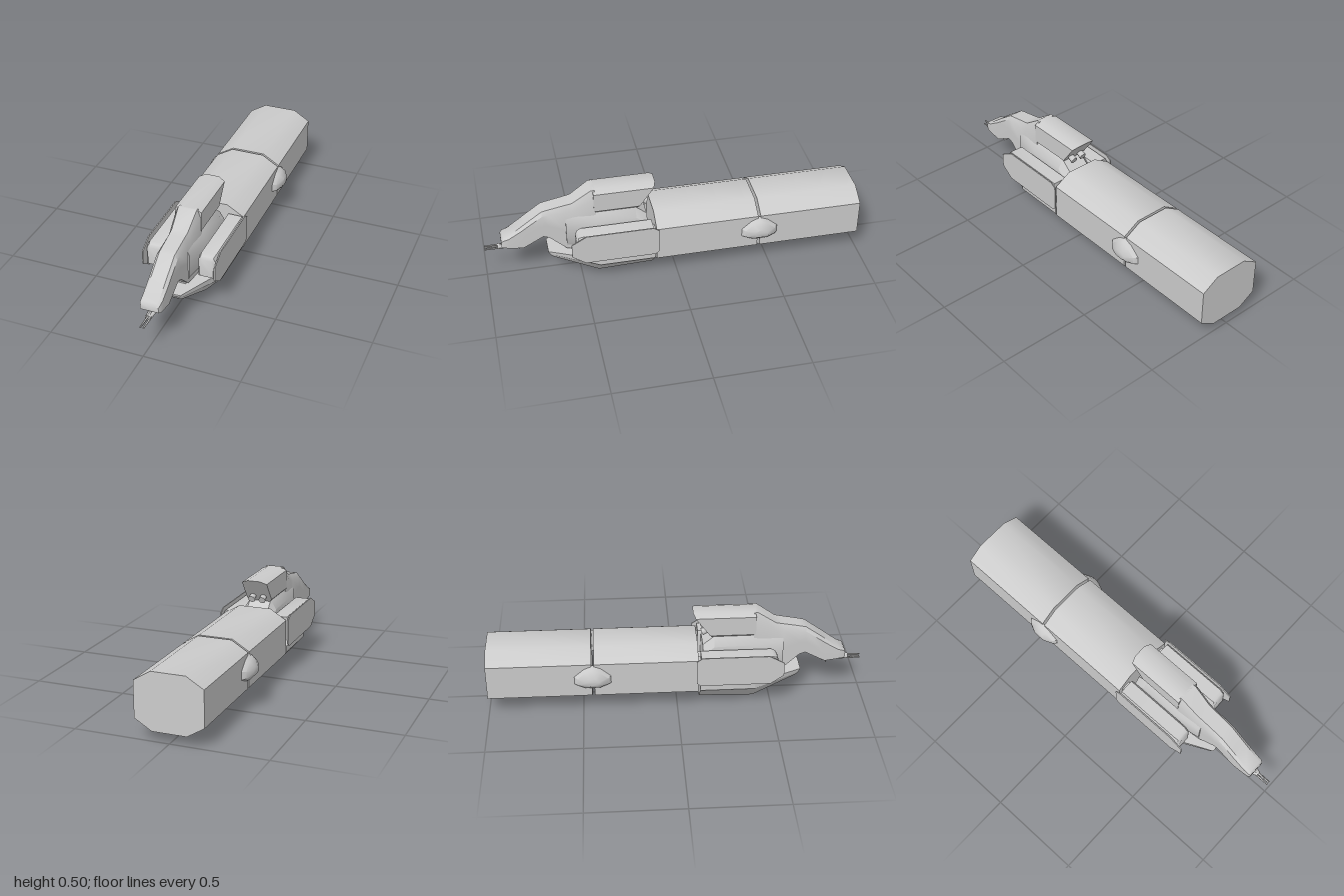
import * as THREE from 'three';
import { toCreasedNormals } from 'three/addons/utils/BufferGeometryUtils.js';

const grey = new THREE.MeshStandardMaterial({ color: 0xcccccc, side: THREE.DoubleSide });

// Mirrored ring at depth z: half holds [x, y] from bottom to top on the right, cx shifts it sideways.
// An optional third value per point shifts that point along z.
function ring(z, half, cx = 0) {
  const right = half.map(([x, y, dz = 0]) => [cx + x, y, z + dz]);
  const left = half.map(([x, y, dz = 0]) => [cx - x, y, z + dz]).reverse();
  return [...right, ...left];
}

// Closed skin through rings ordered from back to front.
function loft(rings, crease = 0.65) {
  const pos = [];
  const n = rings[0].length;
  const tri = (a, b, c) => pos.push(...a, ...b, ...c);
  for (let i = 0; i < rings.length - 1; i++) {
    for (let j = 0; j < n; j++) {
      const k = (j + 1) % n;
      const [a, b, c, d] = [rings[i][j], rings[i][k], rings[i + 1][k], rings[i + 1][j]];
      tri(a, b, c);
      tri(a, c, d);
    }
  }
  const first = rings[0], last = rings[rings.length - 1];
  for (let j = 1; j < n - 1; j++) {
    tri(first[0], first[j + 1], first[j]);
    tri(last[0], last[j], last[j + 1]);
  }
  const g = new THREE.BufferGeometry();
  g.setAttribute('position', new THREE.Float32BufferAttribute(pos, 3));
  return toCreasedNormals(g, crease);
}

export function createModel() {
  const model = new THREE.Group();
  const add = (name, geometry, x = 0, y = 0, z = 0) => {
    const mesh = new THREE.Mesh(geometry, grey);
    mesh.name = name;
    mesh.position.set(x, y, z);
    model.add(mesh);
    return mesh;
  };

  // Two long octagonal hull sections with a narrow gap between them
  const octagon = [[0.09, 0.05], [0.18, 0.105], [0.18, 0.295], [0.09, 0.35]];
  for (const [name, z0, z1] of [['rearHull', -1, -0.45], ['middleHull', -0.437, 0.11]]) {
    add(name, loft([ring(z0, octagon), ring(z1, octagon)], 1.0));
  }

  // Lower keel, narrowing to a wedge at the front
  add('keel', loft([
    ring(0.12, [[0.055, 0.012], [0.09, 0.018], [0.18, 0.11], [0.18, 0.145]]),
    ring(0.41, [[0.055, 0], [0.09, 0.01], [0.18, 0.11], [0.18, 0.148]]),
    ring(0.65, [[0.052, 0.108], [0.055, 0.11], [0.064, 0.125], [0.066, 0.145]]),
    ring(0.67, [[0.05, 0.135], [0.053, 0.137], [0.056, 0.14], [0.057, 0.145]]),
  ], 0.5));

  // Chest between the side pods
  const chest = (z, w, bottom, top) => ring(z, [[w * 0.66, bottom], [w, bottom + 0.05],
    [w, top - 0.05], [w * 0.66, top]]);
  add('chest', loft([
    chest(0.14, 0.09, 0.145, 0.32), chest(0.2, 0.09, 0.145, 0.37),
    chest(0.41, 0.09, 0.145, 0.375), chest(0.57, 0.066, 0.145, 0.375),
  ]));

  // Drooping head and neck: [z, bottom, top, half width]
  const headStations = [
    [0.41, 0.15, 0.5, 0.07], [0.43, 0.15, 0.5, 0.07], [0.53, 0.15, 0.43, 0.061],
    [0.57, 0.155, 0.422, 0.059], [0.66, 0.24, 0.405, 0.058], [0.69, 0.25, 0.398, 0.057],
    [0.78, 0.2, 0.333, 0.056], [0.8, 0.19, 0.318, 0.056], [0.87, 0.2, 0.266, 0.055],
    [0.9, 0.205, 0.254, 0.053], [0.91, 0.21, 0.24, 0.048],
  ];
  add('head', loft(headStations.map(([z, b, t, w]) => ring(z, [
    [w, b], [w, b + (t - b) * 0.45], [w * 0.97, t - (t - b) * 0.14], [w * 0.7, t],
  ]))));

  // Top housing with a raked rear face
  const housing = (z, rake) => ring(z, [[0.057, 0.365, rake], [0.071, 0.38, rake * 0.88],
    [0.071, 0.485, rake * 0.12], [0.035, 0.5, 0]]);
  add('topHousing', loft([housing(0.09, 0.1), housing(0.42, 0)]));

  // Small exhausts under the rear of the housing
  for (const side of [-1, 1]) {
    const nozzle = add('exhaust', new THREE.CylinderGeometry(0.014, 0.02, 0.06, 8), side * 0.03, 0.395, 0.165);
    nozzle.rotation.x = Math.PI / 2 - 0.4;
  }

  // Side plate outline as [z, y]
  const plate = new THREE.Shape([
    [0.12, 0.15], [0.49, 0.15], [0.56, 0.2], [0.56, 0.275], [0.48, 0.32],
    [0.13, 0.32], [0.1, 0.3], [0.1, 0.166],
  ].map(([z, y]) => new THREE.Vector2(z, y)));
  const plateGeometry = new THREE.ExtrudeGeometry(plate, { depth: 0.006, bevelEnabled: false });
  plateGeometry.rotateY(-Math.PI / 2);

  const podRing = (z, w, b, t, cx) => ring(z, [[w, b], [w, t - 0.022], [w - 0.012, t]], cx);
  for (const side of [-1, 1]) {
    const label = side > 0 ? 'left' : 'right';
    // Pod with a softened front
    add(label + 'Pod', loft([
      podRing(0.125, 0.05, 0.177, 0.308, side * 0.14),
      podRing(0.5, 0.05, 0.177, 0.308, side * 0.14),
      podRing(0.52, 0.046, 0.18, 0.3, side * 0.14),
      podRing(0.53, 0.036, 0.187, 0.285, side * 0.14),
    ]));
    add(label + 'PodPlate', plateGeometry, side * 0.194 + 0.003);
    add(label + 'PodLink', new THREE.BoxGeometry(0.05, 0.08, 0.03), side * 0.13, 0.235, 0.118);

    // Faceted bulge bridging the hull gap
    const outline = [[0.1, 0.225], [0.045, 0.272], [0, 0.29], [-0.045, 0.272], [-0.1, 0.225],
      [-0.1, 0.18], [-0.045, 0.155], [0.045, 0.155], [0.1, 0.18]];
    const layer = (x, s) => outline.map(([z, y]) => [x, 0.205 + (y - 0.205) * s, -0.445 + z * s]);
    // Layers run outward along x; the order flips on the mirrored side to keep faces outward
    const layers = [layer(side * 0.175, 1), layer(side * 0.2, 0.8), layer(side * 0.222, 0.35)];
    if (side < 0) layers.reverse();
    layers.forEach((l) => l.reverse());
    const bulge = loft(layers.map((l) => l.slice().reverse()), 0.7);
    add(label + 'HullBulge', bulge);
  }

  // Chin gun: mount, breech, barrels and a small fin
  const tube = (name, r0, r1, length, x, y, z, sides = 8) => {
    const g = new THREE.CylinderGeometry(r1, r0, length, sides);
    g.rotateX(Math.PI / 2);
    return add(name, g, x, y, z);
  };
  tube('gunBreech', 0.028, 0.018, 0.13, 0, 0.182, 0.855).scale.y = 0.6;
  for (const [x, y] of [[0.008, 0.175], [-0.008, 0.175], [0, 0.191]]) {
    tube('gunBarrel', 0.006, 0.004, 0.12, x, y, 0.94, 6);
  }
  tube('gunMuzzleRing', 0.016, 0.016, 0.012, 0, 0.182, 0.925);
  add('gunMount', new THREE.CylinderGeometry(0.02, 0.02, 0.03, 8), 0, 0.2, 0.83);
  const fin = add('gunFin', new THREE.ConeGeometry(0.012, 0.035, 4), 0, 0.158, 0.815);
  fin.rotation.x = Math.PI - 0.3;
  fin.scale.x = 0.3;

  return model;
}
